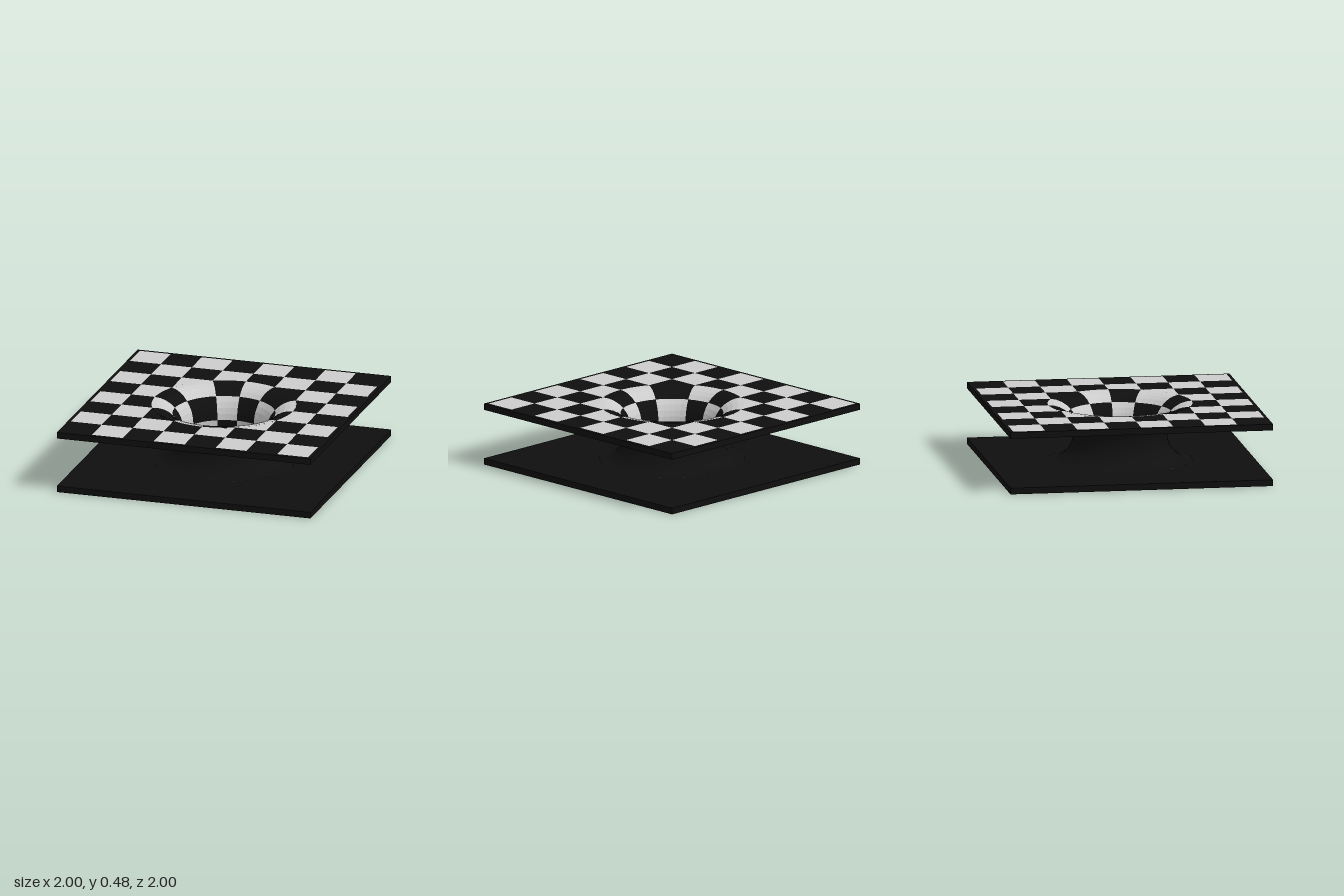
import * as THREE from 'three';
import { mergeGeometries } from 'three/addons/utils/BufferGeometryUtils.js';

const H = 0.476;                 // total height
const THICK = 0.049;             // plate thickness
const T = 0.2437;                // checker tile size
const R = Math.sqrt(5) * T;      // throat rim passes through the tile corners
const ALPHA = Math.atan(0.5);
const LIFT = 0.001;              // pale tiles sit just proud of the dark plates

const pale = new THREE.MeshStandardMaterial({ color: 0xcccccc, side: THREE.DoubleSide, flatShading: true });
const dark = new THREE.MeshStandardMaterial({ color: 0x0f0f0f, side: THREE.DoubleSide, flatShading: true });

function addMesh(group, name, geometry, material) {
  const mesh = new THREE.Mesh(geometry, material);
  mesh.name = name;
  group.add(mesh);
}

// Outline of one tile in the positive quadrant, trimmed where it meets the rim
function tileOutline(a, b) {
  const arc = (from, to) => Array.from({ length: 9 }, (_, i) => {
    const t = from + (to - from) * i / 8;
    return [R * Math.cos(t), R * Math.sin(t)];
  });
  const Q = Math.PI / 2;
  if (a + b < 2) return null;
  if (a === 1 && b === 1) return [[2 * T, 2 * T], ...arc(Q - ALPHA, ALPHA)];
  if (a === 0 && b === 2) return [[0, 3 * T], [T, 3 * T], ...arc(Q - ALPHA, Q)];
  if (a === 2 && b === 0) return [[3 * T, T], [3 * T, 0], ...arc(0, ALPHA)];
  return [[a, b], [a + 1, b], [a + 1, b + 1], [a, b + 1]].map(([x, z]) => [x * T, z * T]);
}

// Pale tiles of one plate; side is 1 for the top, -1 for the bottom
function tiles(side) {
  const parts = [];
  for (let i = 0; i < 8; i++) {
    for (let j = 0; j < 8; j++) {
      if (((i + j) % 2 === 0) !== (side > 0)) continue;
      const sx = i < 4 ? -1 : 1, sz = j < 4 ? -1 : 1;
      const outline = tileOutline(i < 4 ? 3 - i : i - 4, j < 4 ? 3 - j : j - 4);
      if (!outline) continue;
      const pts = outline.map(([x, z]) => new THREE.Vector2(sx * x, -side * sz * z));
      parts.push(new THREE.ShapeGeometry(new THREE.Shape(pts)));
    }
  }
  return mergeGeometries(parts).rotateX(-side * Math.PI / 2).translate(0, side > 0 ? H : 0, 0);
}

// Square plate with a round opening
function plate(y) {
  const s = new THREE.Shape([[-1, -1], [1, -1], [1, 1], [-1, 1]].map((p) => new THREE.Vector2(...p)));
  s.holes.push(new THREE.Path().absarc(0, 0, R, 0, Math.PI * 2, true));
  return new THREE.ExtrudeGeometry(s, { depth: THICK - LIFT, bevelEnabled: false, curveSegments: 48 })
    .rotateX(-Math.PI / 2).translate(0, y, 0);
}

// Points on the half-round throat profile between two angles
function profile(rx, ry, from, to, steps) {
  return Array.from({ length: steps + 1 }, (_, i) => {
    const t = from + (to - from) * i / steps;
    return new THREE.Vector2(R - rx * Math.sin(t), H / 2 + ry * Math.cos(t));
  });
}

export function createModel() {
  const group = new THREE.Group();
  group.name = 'checkeredTunnel';

  addMesh(group, 'topPlate', plate(H - THICK), dark);
  addMesh(group, 'bottomPlate', plate(LIFT), dark);
  addMesh(group, 'topTiles', tiles(1), pale);
  addMesh(group, 'bottomTiles', tiles(-1), pale);

  // Plain outside of the throat, seen between the plates
  const gap = H / 2 - THICK;
  addMesh(group, 'throatOutside',
    new THREE.LatheGeometry(profile(gap, gap, 0, Math.PI, 24), 64), dark);

  // Checkered inside: four rings of twelve sectors
  const paleParts = [], darkParts = [];
  const edges = [0, ALPHA, Math.PI / 2 - ALPHA];
  const edge = (k) => edges[k % 3] + Math.floor(k / 3) * Math.PI / 2;
  for (let ring = 0; ring < 4; ring++) {
    const pts = profile(0.224, H / 2, ring * Math.PI / 4, (ring + 1) * Math.PI / 4, 4);
    for (let k = 0; k < 12; k++) {
      const patch = new THREE.LatheGeometry(pts, 5, edge(k), edge(k + 1) - edge(k));
      ((ring + k) % 2 ? paleParts : darkParts).push(patch);
    }
  }
  addMesh(group, 'throatPaleTiles', mergeGeometries(paleParts), pale);
  addMesh(group, 'throatDarkTiles', mergeGeometries(darkParts), dark);
  return group;
}
